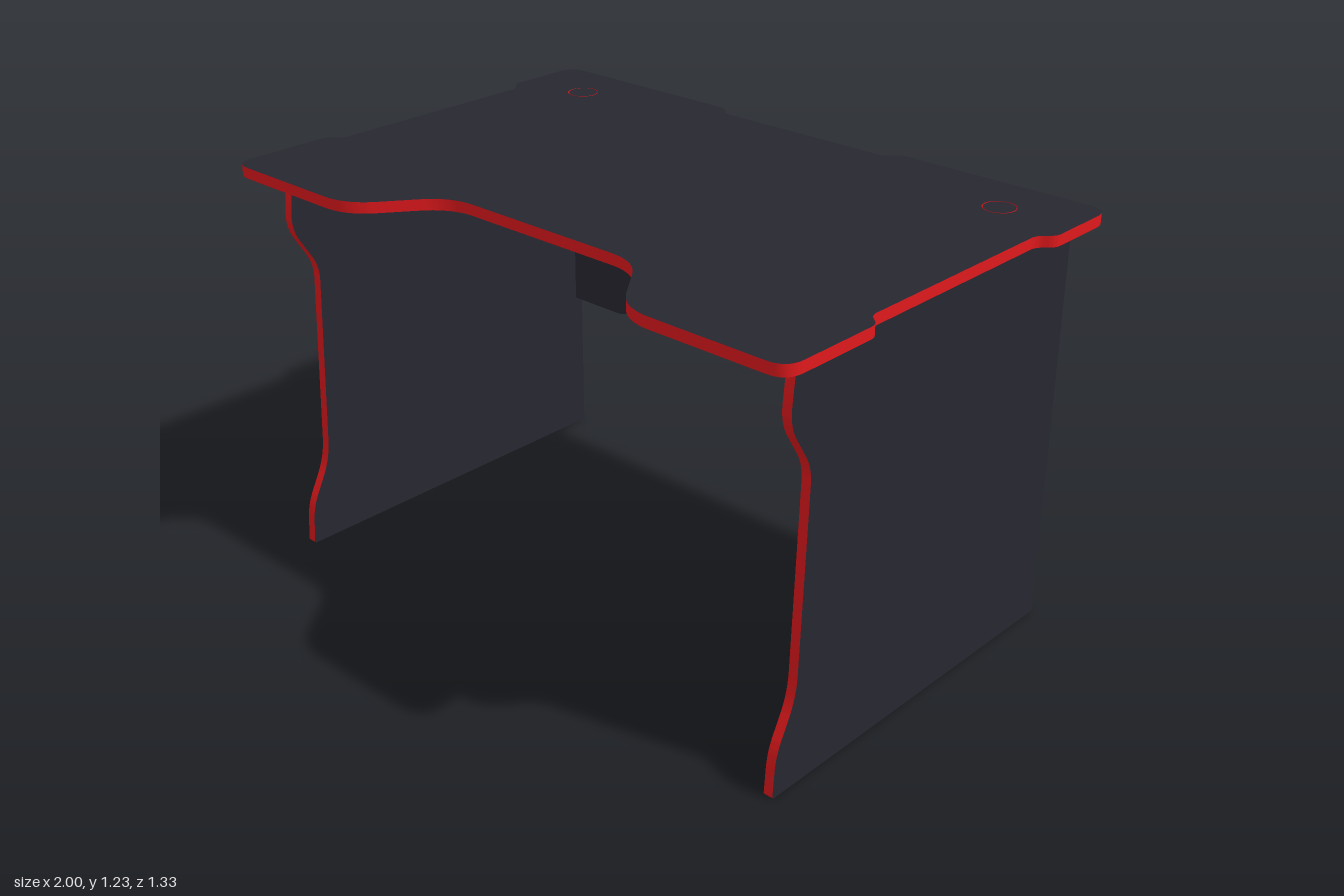
import * as THREE from 'three';
import { toCreasedNormals } from 'three/addons/utils/BufferGeometryUtils.js';

const T = 0.028; // board thickness
const H = 1.205; // underside of the top

// Closed shape through corners [x, y, cut]; each corner is rounded off over the length "cut"
function roundedShape(corners) {
  const shape = new THREE.Shape();
  const n = corners.length;
  const towards = (a, b, d) => {
    const l = Math.hypot(b[0] - a[0], b[1] - a[1]);
    return [a[0] + ((b[0] - a[0]) * d) / l, a[1] + ((b[1] - a[1]) * d) / l];
  };
  corners.forEach((c, i) => {
    const cut = c[2] || 0;
    const start = towards(c, corners[(i + n - 1) % n], cut);
    const end = towards(c, corners[(i + 1) % n], cut);
    if (i === 0) shape.moveTo(...start);
    else shape.lineTo(...start);
    if (cut) shape.quadraticCurveTo(c[0], c[1], ...end);
  });
  shape.closePath();
  return shape;
}

// Adds the mirror image of a half outline across x = 0
const mirrored = (half) => [...half, ...half.map(([x, y, r]) => [-x, y, r]).reverse()];

// Border strip of the given width running inside a counterclockwise outline
function borderShape(outline, width) {
  const pts = outline.getPoints(10).filter((p, i, all) => p.distanceTo(all[(i + 1) % all.length]) > 1e-5);
  const inner = pts.map((p, i) => {
    const dir = pts[(i + 1) % pts.length].clone().sub(pts[(i + pts.length - 1) % pts.length]).normalize();
    return new THREE.Vector2(p.x - dir.y * width, p.y + dir.x * width);
  });
  const border = new THREE.Shape(pts);
  border.holes.push(new THREE.Path(inner));
  return border;
}

function board(shape, depth = T) {
  return new THREE.ExtrudeGeometry(shape, { depth, bevelEnabled: false, curveSegments: 10 });
}

export function createModel() {
  const charcoal = new THREE.MeshStandardMaterial({ color: 0x272731 });
  charcoal.name = 'charcoal board';
  const red = new THREE.MeshStandardMaterial({ color: 0xe0191c });
  red.name = 'red edge band';
  const desk = new THREE.Group();
  desk.name = 'desk';

  const add = (name, geometry, x, y, z, material = [charcoal, red]) => {
    const mesh = new THREE.Mesh(toCreasedNormals(geometry, 0.5), material);
    mesh.name = name;
    mesh.position.set(x, y, z);
    desk.add(mesh);
  };

  // Table top, outlined in x and z, with two cable holes
  const grommetX = 0.775, grommetZ = -0.493;
  const top = roundedShape(mirrored([
    [0.30, -0.627, 0.022], [0.33, -0.667, 0.022],
    [1, -0.667, 0.06], [1, -0.412, 0.02], [0.96, -0.377, 0.02],
    [0.96, 0.313, 0.02], [1, 0.347, 0.02], [1, 0.667, 0.06],
    [0.51, 0.667, 0.085], [0.34, 0.44, 0.085],
  ]));
  // Edge band lip showing around the underside
  add('edgeBandLip', board(borderShape(top, 0.016), 0.004).rotateX(Math.PI / 2), 0, H, 0, red);
  for (const s of [-1, 1]) {
    top.holes.push(new THREE.Path().absarc(s * grommetX, grommetZ, 0.048, 0, Math.PI * 2, true));
  }
  add('tableTop', board(top).rotateX(Math.PI / 2), 0, H + T, 0);

  // Cable hole covers, leaving a fine gap around each
  for (const s of [-1, 1]) {
    const disc = new THREE.Shape().absarc(0, 0, 0.0445, 0, Math.PI * 2, false);
    add(s > 0 ? 'leftCableCover' : 'rightCableCover',
      board(disc).rotateX(Math.PI / 2), s * grommetX, H + T, grommetZ);
  }

  // Side panels, outlined in z and y
  const side = roundedShape([
    [-0.598, 0], [0.583, 0, 0.008], [0.574, 0.125, 0.045], [0.502, 0.265, 0.06],
    [0.477, 0.893, 0.045], [0.564, 1.03, 0.05], [0.545, H, 0.012], [-0.598, H],
  ]);
  add('leftSidePanel', board(side).rotateY(-Math.PI / 2), 0.933, 0, 0);
  add('rightSidePanel', board(side).rotateY(-Math.PI / 2), -0.905, 0, 0);

  // Back panel with a cable slot above and a shallow arch below
  const back = roundedShape(mirrored([
    [0.575, 0.55, 0.055], [0.662, 0.47, 0.055], [0.905, 0.47],
    [0.905, H], [0.285, H, 0.025], [0.243, 1.132, 0.03],
  ]));
  add('backPanel', board(back), 0, 0, -0.598);

  return desk;
}
